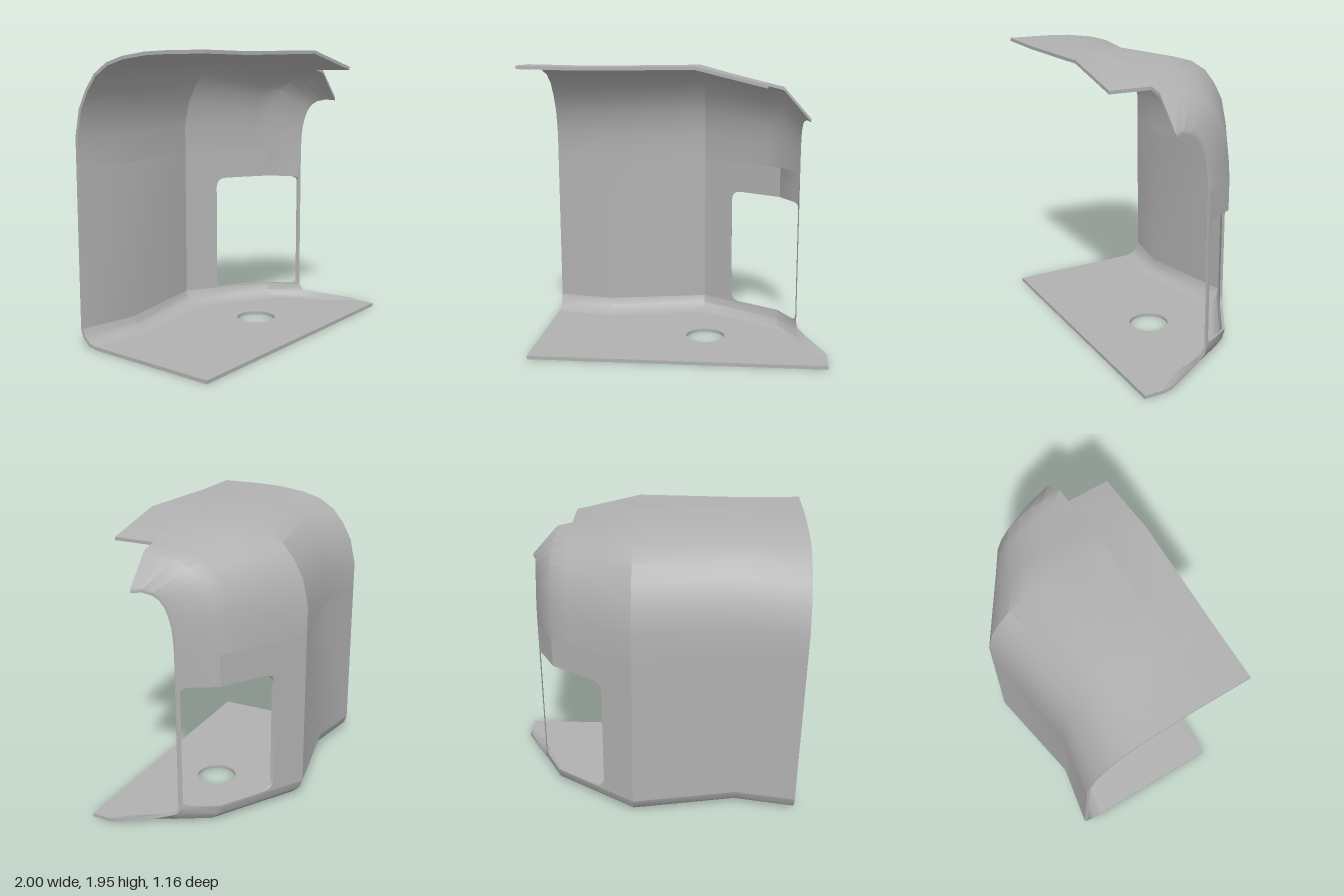
import * as THREE from 'three';
import { toCreasedNormals } from 'three/addons/utils/BufferGeometryUtils.js';

const T = 0.022; // sheet thickness

// plan line of the wall: outer z for a given x
const PLAN = [[-1, -0.51], [-0.59, -0.44], [0.12, -0.58], [0.68, -0.23], [0.81, 0]];
function planZ(x) {
  let i = 0;
  while (i < PLAN.length - 2 && x > PLAN[i + 1][0]) i++;
  const [x0, z0] = PLAN[i], [x1, z1] = PLAN[i + 1];
  return z0 + (z1 - z0) * (x - x0) / (x1 - x0);
}

// closed sheet from columns of outer points [x, y, z], thickened inwards
function sheet(columns) {
  const inner = columns.map(col => col.map(([x, y, z], j) => {
    const a = col[Math.max(j - 1, 0)], b = col[Math.min(j + 1, col.length - 1)];
    const ty = b[1] - a[1], tz = b[2] - a[2], l = Math.hypot(ty, tz);
    return [x, y - tz / l * T, z + ty / l * T];
  }));
  const pos = [];
  const quad = (a, b, c, d) => pos.push(...a, ...b, ...c, ...a, ...c, ...d);
  const m = columns.length - 1, n = columns[0].length - 1;
  for (let i = 0; i < m; i++) {
    const o = columns[i], p = columns[i + 1], q = inner[i], r = inner[i + 1];
    for (let j = 0; j < n; j++) {
      quad(o[j], o[j + 1], p[j + 1], p[j]);
      quad(q[j], r[j], r[j + 1], q[j + 1]);
    }
    quad(o[0], p[0], r[0], q[0]);
    quad(o[n], q[n], r[n], p[n]);
  }
  for (let j = 0; j < n; j++) {
    quad(columns[0][j], inner[0][j], inner[0][j + 1], columns[0][j + 1]);
    quad(columns[m][j], columns[m][j + 1], inner[m][j + 1], inner[m][j]);
  }
  const g = new THREE.BufferGeometry();
  g.setAttribute('position', new THREE.Float32BufferAttribute(pos, 3));
  return toCreasedNormals(g, 0.6);
}

// flat wall panel, sheared to follow the plan line
function panel(shape) {
  const g = new THREE.ExtrudeGeometry(shape, { depth: T, bevelEnabled: false, curveSegments: 6 });
  const p = g.attributes.position;
  for (let i = 0; i < p.count; i++) p.setZ(i, p.getZ(i) + planZ(p.getX(i)));
  return toCreasedNormals(g, 0.6);
}

export function createModel() {
  const group = new THREE.Group();
  const grey = new THREE.MeshStandardMaterial({ color: 0xb0b0b0, side: THREE.DoubleSide });
  grey.name = 'plain grey';
  const add = (name, geometry) => {
    const mesh = new THREE.Mesh(geometry, grey);
    mesh.name = name;
    group.add(mesh);
  };
  const LOW = 0.12, HIGH = 1.2;      // wall limits between the two bends
  const W0 = 0.13, W1 = 0.985;       // window bottom and top

  // plain back wall
  add('backWall', sheet([-1, -0.59, 0.12].map(x => [LOW, HIGH].map(y => [x, y, planZ(x)]))));

  // wide side panel with the open left part of the window
  const a = new THREE.Shape();
  const wl = 0.33, r = 0.07;
  a.moveTo(0.12, LOW);
  a.lineTo(0.68, LOW);
  a.lineTo(0.68, W0);
  a.lineTo(wl + r, W0);
  a.quadraticCurveTo(wl, W0, wl, W0 + r);
  a.lineTo(wl, W1 - r);
  a.quadraticCurveTo(wl, W1, wl + r, W1);
  a.lineTo(0.68, W1);
  a.lineTo(0.68, HIGH);
  a.lineTo(0.12, HIGH);
  add('sidePanel', panel(a));

  // narrow end panel with a slim post closing the window
  const b = new THREE.Shape();
  const wr = 0.804, s = 0.035;
  b.moveTo(0.68, LOW);
  b.lineTo(0.81, LOW);
  b.lineTo(0.81, HIGH);
  b.lineTo(0.68, HIGH);
  b.lineTo(0.68, W1);
  b.lineTo(wr - s, W1);
  b.quadraticCurveTo(wr, W1, wr, W1 - s);
  b.lineTo(wr, W0 + s);
  b.quadraticCurveTo(wr, W0, wr - s, W0);
  b.lineTo(0.68, W0);
  add('endPanel', panel(b));

  // upper bend: the wall curves over into the roof
  const bend = [[0, 1.2], [0, 1.4], [0.04, 1.58], [0.105, 1.7], [0.185, 1.8],
    [0.295, 1.87], [0.435, 1.91], [0.62, 1.935]];
  const backColumn = (x, drop) => [
    ...bend.map(([dz, y]) => [x, y - drop * (y - 1.2) / 0.74, planZ(x) + dz]),
    [x, 1.943 - drop, 0.29]];
  const corner = backColumn(0.12, 0);
  const shoulder = [[-0.23, 1.2], [-0.22, 1.32], [-0.2, 1.47], [-0.16, 1.58], [-0.1, 1.67],
    [-0.02, 1.73], [0.07, 1.77], [0.16, 1.79], [0.29, 1.805]].map(([z, y]) => [0.68, y, z]);
  const mix = t => corner.map((p, j) => p.map((v, k) => v + (shoulder[j][k] - v) * t));
  const tip = [[0.81, 1.2, 0], [0.81, 1.3, 0.005], [0.81, 1.38, 0.015], [0.81, 1.45, 0.035],
    [0.812, 1.51, 0.06], [0.816, 1.56, 0.1], [0.822, 1.59, 0.15], [0.835, 1.605, 0.22],
    [0.86, 1.6, 0.29]];
  add('upperBend', sheet([backColumn(-1, 0), backColumn(-0.59, 0.008), corner,
    mix(0.4), mix(0.8125), shoulder, tip]));

  // roof in front of the bend, stopping short at the notch
  add('roofFront', sheet([[-1, 1.943], [-0.59, 1.935], [0.12, 1.943], [0.575, 1.831]]
    .map(([x, y]) => [[x, y, 0.29], [x, y + 0.002, 0.575]])));

  // lower bend, fading into a low lip towards the right front corner
  const foot = [[0.14, 0], [0.07, 0.015], [0.02, 0.06], [0, LOW]];
  const lower = [
    ...[-1, -0.59, 0.12, 0.68, 0.81].map(x => foot.map(([dz, y]) => [x, y, planZ(x) + dz])),
    ...[
      [0.822, [0.19, 0], [0.12, 0.012], [0.06, 0.04], [0.024, 0.07]],
      [0.87, [0.28, 0], [0.22, 0.01], [0.17, 0.03], [0.12, 0.045]],
      [1, [0.45, 0], [0.42, 0.003], [0.4, 0.008], [0.38, 0.012]],
    ].map(([x, ...pts]) => pts.map(([z, y]) => [x, y, z]))];
  add('lowerBend', sheet(lower));

  // flat floor with a round hole
  const floor = new THREE.Shape([
    new THREE.Vector2(-1, -0.575), new THREE.Vector2(1, -0.575),
    ...lower.map(c => new THREE.Vector2(c[0][0], -c[0][2])).reverse()]);
  floor.holes.push(new THREE.Path().absarc(0.165, -0.073, 0.136, 0, Math.PI * 2, true));
  const floorGeo = new THREE.ExtrudeGeometry(floor, { depth: 0.024, bevelEnabled: false, curveSegments: 32 });
  add('floor', toCreasedNormals(floorGeo.rotateX(-Math.PI / 2), 0.6));

  return group;
}
